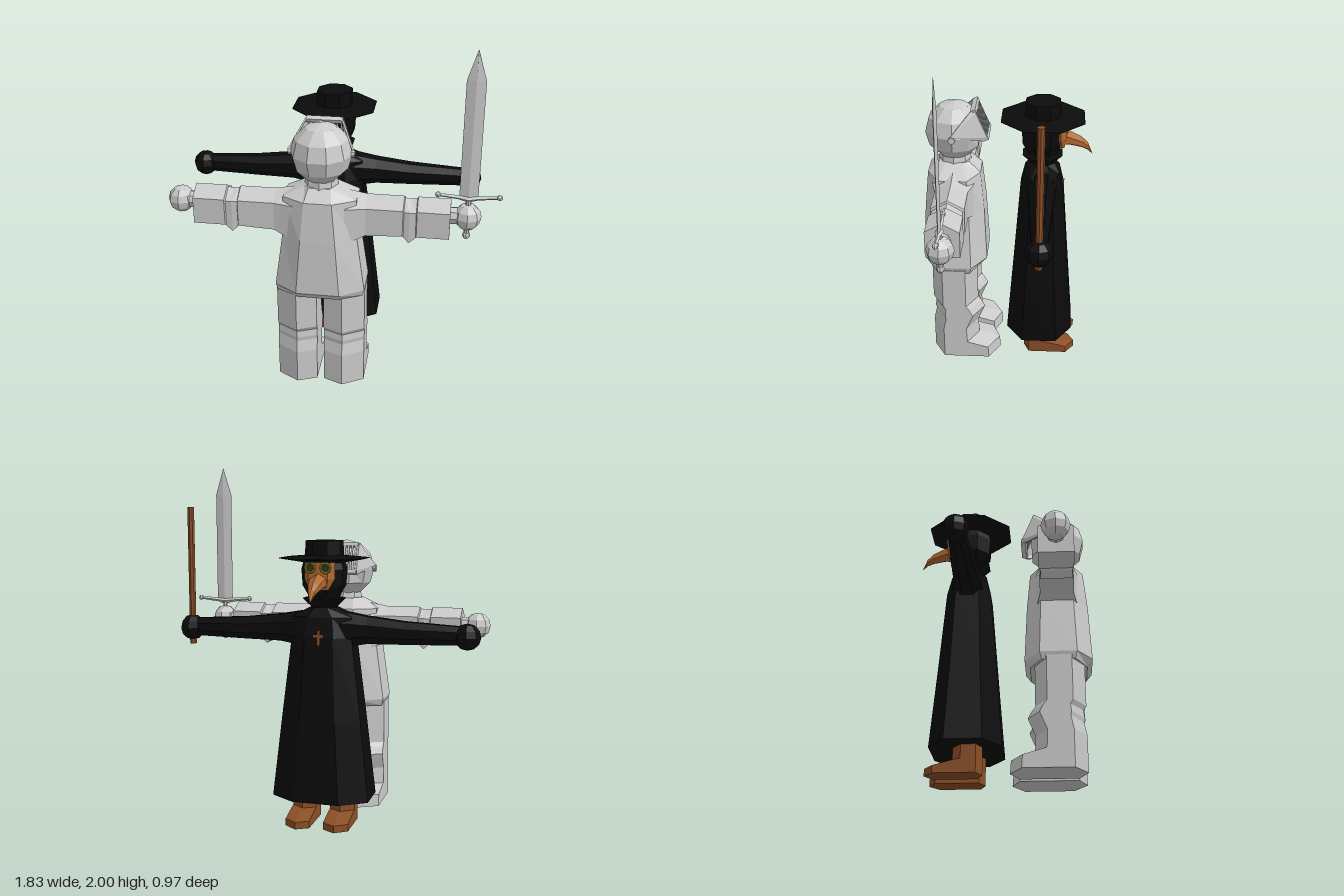
import * as THREE from 'three';

const material = (color, extra = {}) => new THREE.MeshStandardMaterial({ color, flatShading: true, ...extra });
const steel = material(0xcccccc);
const black = material(0x0b0b0b);
const brown = material(0x8b4f26);
const leather = material(0xb0682f);
const yellow = material(0x9a9430);
const darkBrass = material(0x3a3418);

// Joins rings of equal point count into a closed, outward facing solid.
function loft(rings) {
  const tris = [], n = rings[0].length;
  for (let i = 0; i < rings.length - 1; i++) {
    for (let j = 0; j < n; j++) {
      const k = (j + 1) % n, a = rings[i], b = rings[i + 1];
      tris.push([a[j], a[k], b[k]], [a[j], b[k], b[j]]);
    }
  }
  const first = rings[0], last = rings[rings.length - 1];
  for (let j = 1; j < n - 1; j++) {
    tris.push([first[0], first[j + 1], first[j]], [last[0], last[j], last[j + 1]]);
  }
  const v = (p) => new THREE.Vector3(...p);
  let volume = 0;
  for (const [a, b, c] of tris) volume += v(a).dot(v(b).cross(v(c)));
  const points = tris.flatMap(([a, b, c]) => (volume < 0 ? [a, c, b] : [a, b, c])).flat();
  const g = new THREE.BufferGeometry();
  g.setAttribute('position', new THREE.Float32BufferAttribute(points, 3));
  g.computeVertexNormals();
  return g;
}

function add(parent, name, geometry, mat, x = 0, y = 0, z = 0) {
  const mesh = new THREE.Mesh(geometry, mat);
  mesh.name = name;
  mesh.position.set(x, y, z);
  parent.add(mesh);
  return mesh;
}

// Horizontal octagon with half sizes hx, hz and flat front and side half lengths cx, cz.
const octagon = (y, hx, hz, cx, cz, z = 0) => [
  [hx, y, z + cz], [cx, y, z + hz], [-cx, y, z + hz], [-hx, y, z + cz],
  [-hx, y, z - cz], [-cx, y, z - hz], [cx, y, z - hz], [hx, y, z - cz],
];
// Regular octagon with flat sides facing the axes.
const round = (y, r, z = 0) => octagon(y, r, r, r * 0.414, r * 0.414, z);

function createKnight() {
  const g = new THREE.Group();
  g.name = 'knight';

  add(g, 'armouredTorso', loft([
    octagon(0.59, 0.24, 0.155, 0.11, 0.09),
    octagon(0.63, 0.25, 0.185, 0.12, 0.10),
    octagon(0.95, 0.205, 0.17, 0.095, 0.09),
    octagon(1.17, 0.20, 0.15, 0.075, 0.08),
    octagon(1.23, 0.085, 0.085, 0.06, 0.05),
  ]), steel);
  add(g, 'neck', new THREE.CylinderGeometry(0.085, 0.1, 0.1, 8), steel, 0, 1.23, 0);

  // Helmet with its face flattened behind the visor
  const head = new THREE.Group();
  head.name = 'helmet';
  head.position.set(0, 1.405, 0);
  g.add(head);
  const dome = new THREE.SphereGeometry(0.168, 10, 6);
  const p = dome.attributes.position;
  for (let i = 0; i < p.count; i++) p.setZ(i, Math.max(p.getZ(i), -0.14));
  add(head, 'dome', dome, steel);
  const visor = new THREE.Group();
  visor.name = 'visor';
  visor.rotation.x = 0.4;
  head.add(visor);
  for (const y of [-0.085, 0.085]) {
    add(visor, 'visorFrame', new THREE.BoxGeometry(0.2, 0.022, 0.03), steel, 0, y, -0.163);
  }
  for (let i = -4; i <= 4; i++) {
    add(visor, 'visorBar', new THREE.BoxGeometry(0.011, 0.16, 0.01), steel, i * 0.022, 0, -0.172);
  }
  for (const s of [-1, 1]) {
    const plate = (d) => [[s * (0.168 + d), 0.02, 0], [s * (0.095 + d), 0.095, -0.15],
      [s * (0.095 + d), 0.08, -0.175], [s * (0.095 + d), -0.08, -0.175], [s * (0.095 + d), -0.095, -0.15]];
    add(visor, 'visorCheek', loft([plate(0), plate(0.01)]), steel);
    add(head, 'visorHinge', new THREE.CylinderGeometry(0.02, 0.02, 0.02, 8), steel, s * 0.17, 0, 0)
      .rotation.z = Math.PI / 2;
  }

  for (const s of [-1, 1]) {
    // Arm plates: x, top, shoulder edge, bottom, half depth
    const arm = [
      [0.14, 1.2, 1.13, 0.92, 0.12], [0.25, 1.18, 1.13, 0.97, 0.092], [0.45, 1.18, 1.13, 0.98, 0.092],
      [0.455, 1.17, 1.12, 0.97, 0.082], [0.485, 1.165, 1.12, 0.94, 0.086], [0.52, 1.17, 1.12, 0.97, 0.082],
      [0.525, 1.18, 1.13, 0.98, 0.092], [0.7, 1.18, 1.13, 0.98, 0.092],
    ].map(([x, t, e, b, d]) => [[s * x, t, 0], [s * x, e, d], [s * x, b, d], [s * x, b, -d], [s * x, e, -d]]);
    add(g, 'arm', loft(arm), steel);
    add(g, 'wrist', new THREE.CylinderGeometry(0.048, 0.048, 0.12, 8), steel, s * 0.73, 1.08, 0)
      .rotation.z = Math.PI / 2;
    add(g, 'hand', new THREE.SphereGeometry(0.075, 8, 6), steel, s * 0.79, 1.08, 0);

    // Leg and boot: y, back and front z
    const leg = [
      [0, 0.14, -0.265], [0.07, 0.14, -0.26], [0.105, 0.14, -0.135], [0.2, 0.14, -0.13],
      [0.27, 0.125, -0.16], [0.295, 0.13, -0.17], [0.335, 0.125, -0.15], [0.36, 0.14, -0.13], [0.61, 0.14, -0.13],
    ].map(([y, b, f]) => [[s * 0.25, y, b - 0.07], [s * 0.13, y, b], [s * 0.02, y, b - 0.045],
      [s * 0.02, y, f + 0.045], [s * 0.13, y, f], [s * 0.25, y, f + 0.065]]);
    add(g, 'leg', loft(leg), steel);
  }

  // Sword with a ridged blade
  const sword = new THREE.Group();
  sword.name = 'sword';
  sword.position.x = 0.79;
  g.add(sword);
  const diamond = (y, w, d) => [[w, y, 0], [0, y, d], [-w, y, 0], [0, y, -d]];
  add(sword, 'blade', loft([diamond(1.18, 0.05, 0.01), diamond(1.84, 0.05, 0.01), diamond(2, 0.001, 0.001)]), steel);
  add(sword, 'grip', new THREE.CylinderGeometry(0.015, 0.015, 0.22, 8), steel, 0, 1.08, 0);
  add(sword, 'pommel', new THREE.SphereGeometry(0.022, 8, 6), steel, 0, 0.968, 0);
  const guard = [[-0.16, 1.2, 0.009], [-0.05, 1.19, 0.012], [0, 1.185, 0.022], [0.05, 1.19, 0.012], [0.16, 1.2, 0.009]]
    .map(([x, y, r]) => [[x, y + r, 0], [x, y, r], [x, y - r, 0], [x, y, -r]]);
  add(sword, 'guard', loft(guard), steel);
  for (const s of [-1, 1]) add(sword, 'guardEnd', new THREE.SphereGeometry(0.016, 8, 6), steel, s * 0.162, 1.2, 0);
  return g;
}

function createDoctor() {
  const g = new THREE.Group();
  g.name = 'maskedDoctor';

  add(g, 'robe', loft([
    octagon(0.15, 0.275, 0.195, 0.13, 0.1),
    octagon(0.6, 0.225, 0.16, 0.1, 0.08),
    octagon(1.06, 0.17, 0.125, 0.08, 0.065),
    octagon(1.17, 0.17, 0.1, 0.07, 0.06),
    octagon(1.22, 0.075, 0.07, 0.035, 0.03),
  ]), black);
  add(g, 'collar', loft([round(1.2, 0.07), round(1.225, 0.07), round(1.27, 0.112), round(1.275, 0.08)]), black);
  add(g, 'hood', loft([round(1.22, 0.065), round(1.29, 0.085), round(1.34, 0.112),
    round(1.43, 0.118), round(1.5, 0.1)]), black);

  // Wide hat
  add(g, 'hatBrim', loft([round(1.465, 0.1), round(1.488, 0.232), round(1.492, 0.232), round(1.505, 0.1)]), black);
  add(g, 'hatCrown', loft([round(1.48, 0.1), round(1.585, 0.097)]), black);

  // Beaked mask: z, y, half width, half height
  add(g, 'maskFace', loft([octagon(1.32, 0.05, 0.02, 0.04, 0.01, -0.102),
    octagon(1.38, 0.085, 0.035, 0.055, 0, -0.1), octagon(1.47, 0.085, 0.03, 0.055, 0, -0.1)]), leather);
  const beak = [[-0.08, 1.37, 0.06, 0.055], [-0.15, 1.365, 0.042, 0.043], [-0.22, 1.34, 0.03, 0.032],
    [-0.255, 1.315, 0.018, 0.022], [-0.282, 1.27, 0.002, 0.002]]
    .map(([z, y, w, h]) => [[0, y + h, z], [w, y + h * 0.4, z], [w, y - h * 0.5, z],
      [0, y - h, z], [-w, y - h * 0.5, z], [-w, y + h * 0.4, z]]);
  add(g, 'beak', loft(beak), leather);
  for (const s of [-1, 1]) {
    add(g, 'goggleRim', new THREE.TorusGeometry(0.027, 0.007, 6, 10), yellow, s * 0.043, 1.443, -0.135);
    add(g, 'goggleCup', new THREE.CylinderGeometry(0.028, 0.028, 0.04, 10), yellow, s * 0.043, 1.443, -0.115)
      .rotation.x = Math.PI / 2;
    add(g, 'goggleLens', new THREE.CylinderGeometry(0.021, 0.021, 0.006, 10), darkBrass, s * 0.043, 1.443, -0.136)
      .rotation.x = Math.PI / 2;

    // Sleeve: x, centre y, half height, half depth
    const sleeve = [[0.1, 1.1, 0.1, 0.09], [0.25, 1.1, 0.075, 0.07], [0.45, 1.09, 0.062, 0.06], [0.76, 1.085, 0.05, 0.04]]
      .map(([x, y, h, d]) => Array.from({ length: 8 }, (_, i) => {
        const a = (i + 0.5) * Math.PI / 4;
        return [s * x, y + 1.08 * h * Math.sin(a), 1.08 * d * Math.cos(a)];
      }));
    add(g, 'sleeve', loft(sleeve), black);
    add(g, 'glove', new THREE.SphereGeometry(0.073, 8, 6), black, s * 0.79, 1.08, 0);

    // Shoe: y, front z
    const shoe = [[0, -0.215], [0.04, -0.215], [0.068, -0.11], [0.075, -0.07], [0.2, -0.065]]
      .map(([y, f]) => [[s * 0.18, y, 0.06], [s * 0.11, y, 0.09], [s * 0.04, y, 0.06],
        [s * 0.04, y, f + 0.04], [s * 0.11, y, f], [s * 0.18, y, f + 0.05]]);
    add(g, 'shoe', loft(shoe), brown);
  }

  // Chest cross and staff
  add(g, 'crossUpright', new THREE.BoxGeometry(0.016, 0.085, 0.012), brown, 0, 1.06, -0.122);
  add(g, 'crossBar', new THREE.BoxGeometry(0.056, 0.016, 0.012), brown, 0, 1.072, -0.122);
  add(g, 'staff', new THREE.CylinderGeometry(0.02, 0.02, 0.78, 8), brown, 0.79, 1.375, 0);
  return g;
}

export function createModel() {
  const model = new THREE.Group();
  model.name = 'knightAndDoctor';
  const knight = createKnight();
  knight.position.set(-0.05, 0, 0.3);
  const doctor = createDoctor();
  doctor.position.set(-0.05, 0, -0.2);
  model.add(knight, doctor);
  return model;
}
